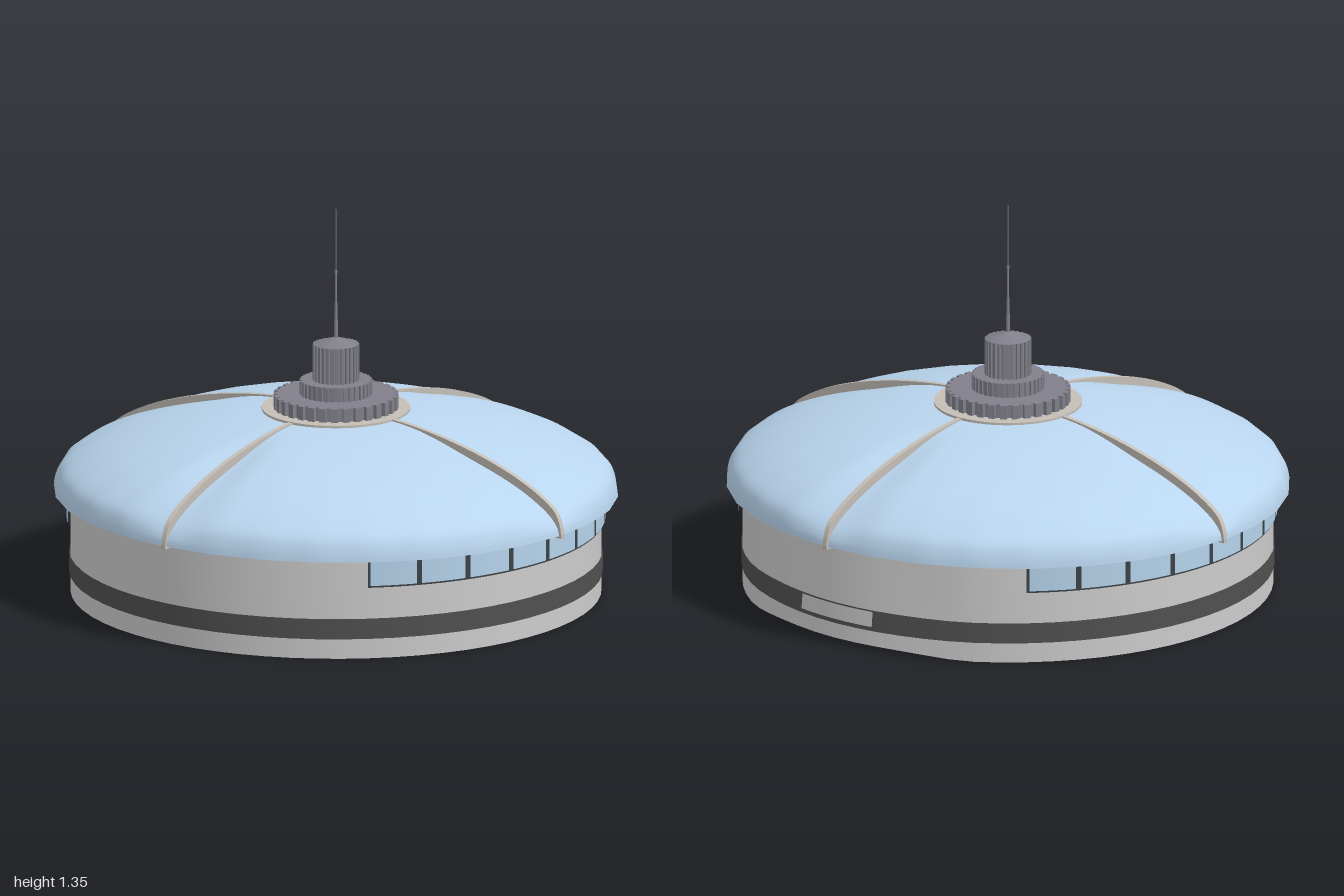
import * as THREE from 'three';

const mat = (color) => new THREE.MeshStandardMaterial({ color, side: THREE.DoubleSide });
const V = (x, y) => new THREE.Vector2(x, y);
const RAD = Math.PI / 180;

// Domed roof outline, from eave to crown
const EAVE = [[0.982, 0.355], [0.975, 0.39], [0.955, 0.43], [0.91, 0.465], [0.835, 0.505], [0.74, 0.543],
  [0.62, 0.58], [0.48, 0.612], [0.34, 0.634], [0.2, 0.647]];
const SQUASH = 0.97; // the roof is slightly narrower across x
const SIDES = 32; // flat sides of the roof edge

// Upright cogwheel outline extruded from y0 to y1
function cog(r, depth, teeth, y0, y1) {
  const shape = new THREE.Shape();
  const step = (Math.PI * 2) / teeth;
  for (let i = 0; i < teeth; i++) {
    [[0, r], [0.55, r], [0.6, r - depth], [0.95, r - depth]].forEach(([f, q], k) => {
      const a = (i + f) * step;
      shape[i + k ? 'lineTo' : 'moveTo'](q * Math.cos(a), q * Math.sin(a));
    });
  }
  const g = new THREE.ExtrudeGeometry(shape, { depth: y1 - y0, bevelEnabled: false });
  return g.rotateX(-Math.PI / 2).translate(0, y0, 0);
}

// Curved strip of wall between two heights
const band = (r, y0, y1, start = 0, len = Math.PI * 2, seg = 64) =>
  new THREE.LatheGeometry([V(r, y0), V(r, y1)], seg, start, len);

// The wall section around the +x entrance leans inward and its foot is lifted
function leanEntrance(g) {
  const p = g.attributes.position;
  for (let i = 0; i < p.count; i++) {
    const t = THREE.MathUtils.smoothstep(p.getX(i), 0.76, 0.9);
    const y = p.getY(i);
    p.setX(i, p.getX(i) - 0.1 * y * t);
    if (y < 0.01) p.setY(i, y + 0.018 * t);
  }
  g.computeVertexNormals();
  return g;
}

export function createModel() {
  const model = new THREE.Group();
  const grey = mat(0xcccccc), blue = mat(0xb9d5ee), glass = mat(0xb4d2ea);
  const dark = mat(0x505050), frame = mat(0x3c4248), floorMat = mat(0x4a4a4a), seamMat = mat(0x6c6c6c);
  const metal = mat(0x817f8a), trim = mat(0xc4beb6);
  const add = (name, geometry, material, parent = model) => {
    const m = new THREE.Mesh(geometry, material);
    m.name = name;
    parent.add(m);
    return m;
  };

  // Drum wall and its dark stripe
  add('wall', leanEntrance(band(0.912, 0, 0.36)), grey);
  add('stripe', leanEntrance(band(0.916, 0.07, 0.142)), dark);
  add('stripeInside', leanEntrance(band(0.906, 0.07, 0.142)), dark);
  add('entrancePanel', leanEntrance(band(0.919, 0.085, 0.138, 80 * RAD, 20 * RAD, 6)), grey);

  // Recessed floor seen from below, with seams
  add('floor', new THREE.LatheGeometry([V(0.9, 0.125), V(0.66, 0.125), V(0.64, 0.145), V(0.29, 0.15), V(0, 0.155)], 48), floorMat);
  const seams = new THREE.Group();
  seams.name = 'floorSeams';
  model.add(seams);
  for (let i = 0; i < 16; i++) {
    const a = (i / 16) * Math.PI * 2;
    add('inner seam', new THREE.BoxGeometry(0.35, 0.008, 0.006).translate(0.465, 0.145, 0).rotateY(a), seamMat, seams);
    add('outer seam', new THREE.BoxGeometry(0.23, 0.008, 0.006).translate(0.775, 0.124, 0).rotateY(a), seamMat, seams);
  }

  // Entrance platforms and small treads under both sides
  for (const s of [-1, 1]) {
    add('platform', new THREE.BoxGeometry(0.18, 0.015, 0.32).translate(s * 0.78, 0.095, 0), floorMat);
    for (const z of [-0.21, 0.21])
      for (let i = 0; i < 3; i++)
        add('tread', new THREE.BoxGeometry(0.012, 0.006, 0.1).translate(s * (0.73 + i * 0.04), 0.08 + i * 0.012, z), grey);
  }

  // Window rows, front and back
  const PANES = 8, span = 90 * RAD, step = span / PANES;
  for (const centre of [0, Math.PI]) {
    const row = new THREE.Group();
    row.name = centre ? 'backWindows' : 'frontWindows';
    model.add(row);
    const a0 = centre - span / 2;
    add('frame', band(0.921, 0.253, 0.36, a0, span, 32), frame, row);
    for (let i = 0; i < PANES; i++)
      add('pane', band(0.925, 0.26, 0.354, a0 + i * step + 0.01, step - 0.02, 4), glass, row);
  }

  // Roof: four panels meeting in shallow valleys, over a many-sided edge
  const curve = new THREE.SplineCurve(EAVE.map((p) => V(...p)));
  const roof = new THREE.LatheGeometry(curve.getPoints(36), SIDES * 4);
  const p = roof.attributes.position;
  const side = (Math.PI * 2) / SIDES;
  for (let i = 0; i < p.count; i++) {
    const x = p.getX(i), y = p.getY(i), z = p.getZ(i), r = Math.hypot(x, z);
    const a = Math.atan2(Math.min(Math.abs(x), Math.abs(z)), Math.max(Math.abs(x), Math.abs(z)));
    const flat = Math.cos(side / 2) / Math.cos((a % side) - side / 2);
    const fade = THREE.MathUtils.smoothstep(r, 0.3, 0.65) * THREE.MathUtils.smoothstep(y, 0.355, 0.44);
    const dip = 0.024 * fade * Math.exp(-((a / (7 * RAD)) ** 2));
    p.setXYZ(i, x * flat * SQUASH, y - dip, z * flat);
  }
  roof.computeVertexNormals();
  add('roof', roof, blue);
  add('soffit', new THREE.RingGeometry(0.9, 0.98, SIDES).rotateX(Math.PI / 2).scale(SQUASH, 1, 1).translate(0, 0.357, 0), blue);

  // Four roof ribs following the outline
  const top = curve.getPoints(36);
  const ribShape = new THREE.Shape([
    V(top[0].x + 0.008, 0.347),
    ...top.map((q) => V(q.x + 0.008, q.y + 0.005)),
    ...top.slice().reverse().map((q) => V(q.x - 0.015, Math.max(0.347, q.y - 0.03))),
  ]);
  for (let i = 0; i < 4; i++) {
    const g = new THREE.ExtrudeGeometry(ribShape, { depth: 0.018, bevelEnabled: false });
    g.translate(0, 0, -0.009).rotateY((i * Math.PI) / 2);
    if (i % 2 === 0) g.scale(SQUASH, 1, 1);
    add('rib', g, trim);
  }

  // Crown plate and toothed turret
  add('crownPlate', new THREE.CylinderGeometry(0.255, 0.255, 0.014, 48).translate(0, 0.643, 0), trim);
  add('turretBase', cog(0.215, 0.014, 32, 0.65, 0.698), metal);
  add('turretTier', cog(0.125, 0.006, 36, 0.698, 0.748), metal);
  add('turretColumn', cog(0.08, 0.01, 28, 0.748, 0.875), metal);
  add('turretCap', new THREE.ConeGeometry(0.076, 0.025, 28).translate(0, 0.8875, 0), metal);

  // Antenna in three tapering lengths
  [[0.007, 0.89, 1.02], [0.004, 1.02, 1.13], [0.0022, 1.13, 1.352]].forEach(([r, y0, y1]) =>
    add('antenna', new THREE.CylinderGeometry(r * 0.75, r, y1 - y0, 8).translate(0, (y0 + y1) / 2, 0), metal));
  add('antennaJoint', new THREE.CylinderGeometry(0.006, 0.006, 0.01, 8).translate(0, 1.13, 0), metal);

  return model;
}
